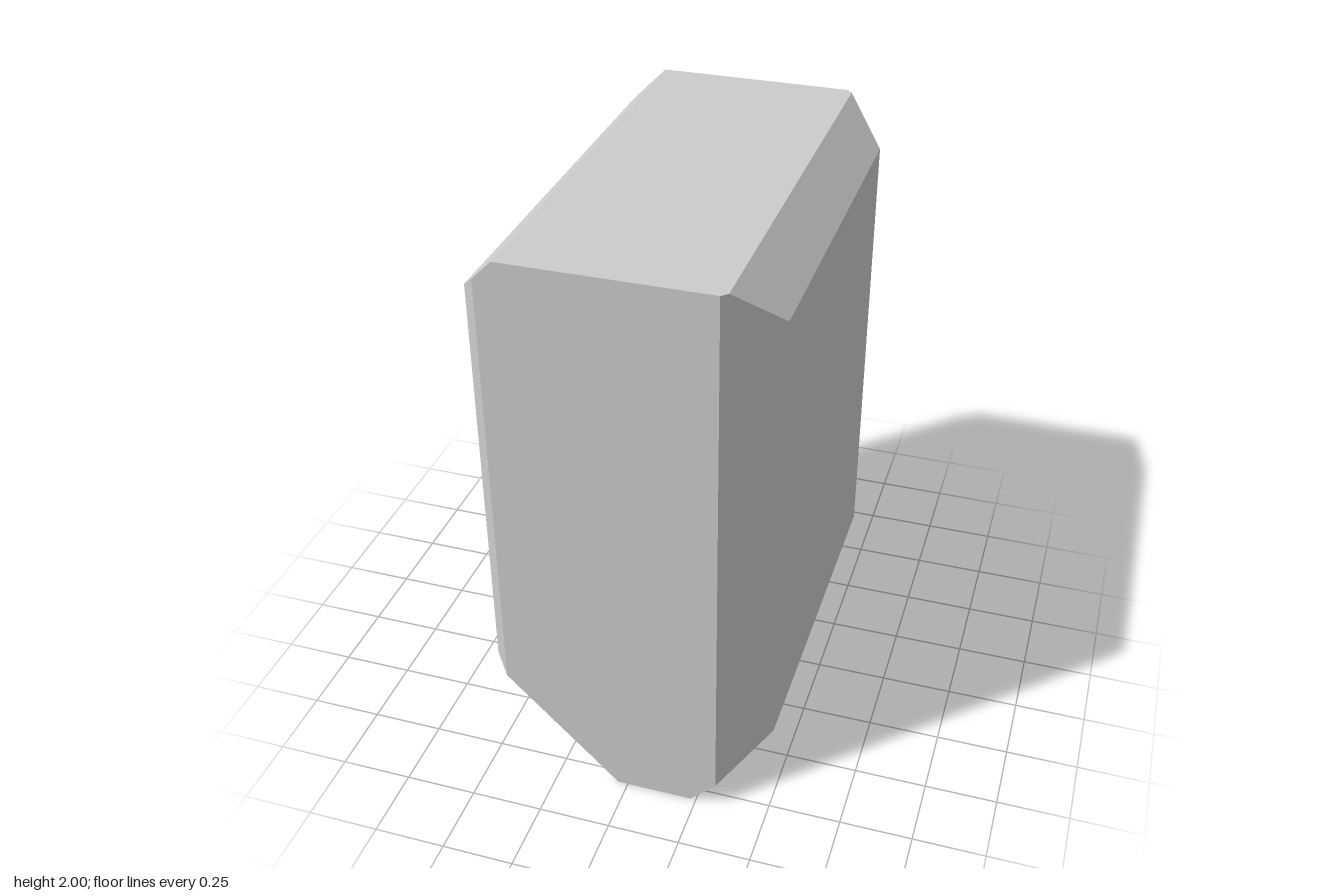
import * as THREE from 'three';
import { ConvexGeometry } from 'three/addons/geometries/ConvexGeometry.js';

// Corners of the front half as [x, y, z]; the back half mirrors them.
const CORNERS = [
  // front face outline
  [-0.43, 0.395, 0.8], [-0.035, 0, 0.8], [0.23, 0, 0.8], [0.32, 0.09, 0.8],
  [0.32, 2, 0.8], [-0.365, 2, 0.8], [-0.43, 1.935, 0.8],
  // top corner where the two wide bevels meet
  [0.34, 2, 0.78],
  // wide-bevelled side panel
  [0.48, 0.25, 0.64], [0.48, 1.86, 0.64],
  // narrow-bevelled side panel
  [-0.48, 0.445, 0.75], [-0.48, 1.885, 0.75],
];

export function createModel() {
  const group = new THREE.Group();
  group.name = 'bevelledBlock';

  // Faceted convex body
  const points = CORNERS.flatMap(([x, y, z]) => [
    new THREE.Vector3(x, y, z),
    new THREE.Vector3(x, y, -z),
  ]);
  const body = new THREE.Mesh(
    new ConvexGeometry(points),
    new THREE.MeshStandardMaterial({ color: 0xcccccc, flatShading: true })
  );
  body.name = 'body';
  group.add(body);

  return group;
}
